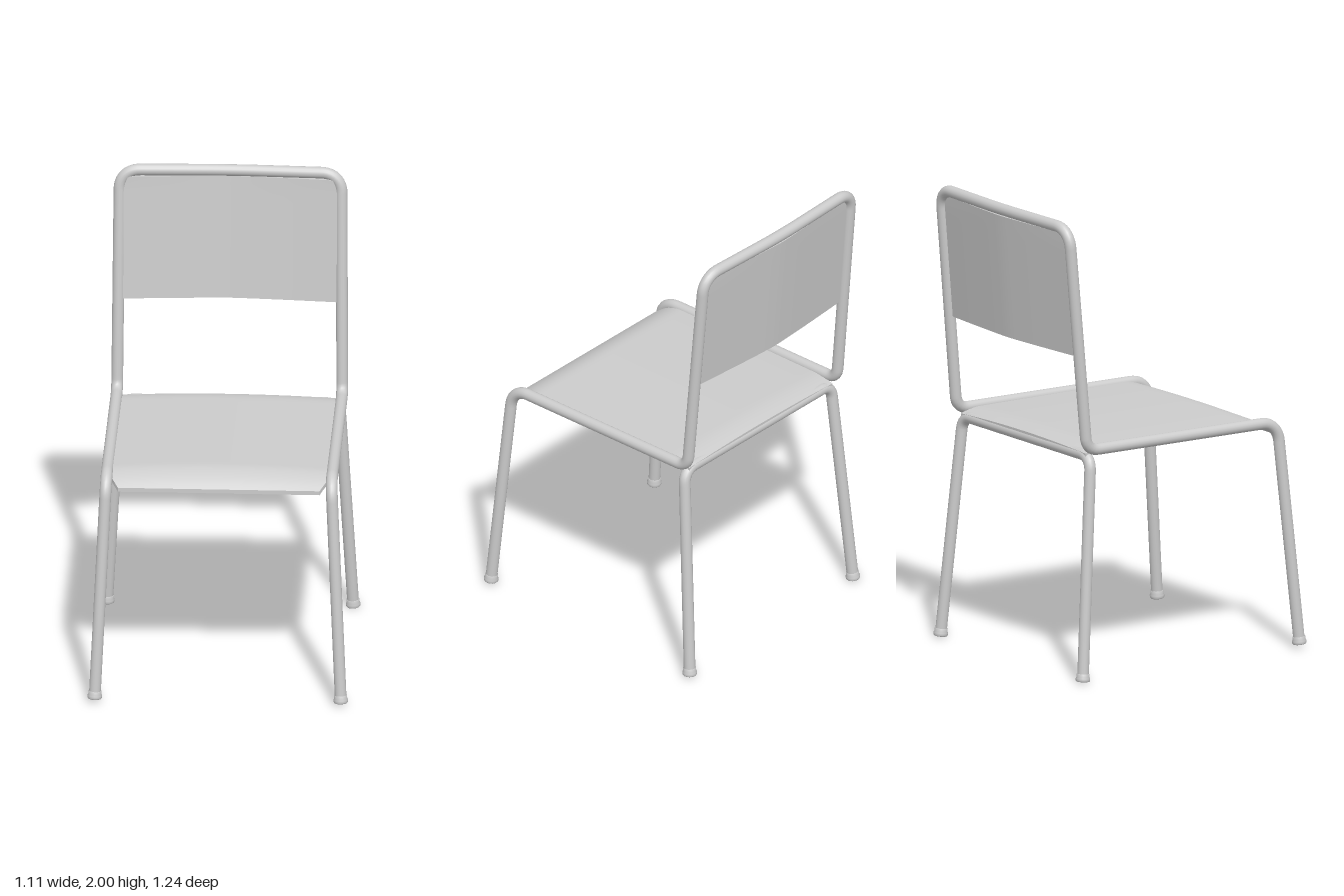
import * as THREE from 'three';

const V = (x, y, z) => new THREE.Vector3(x, y, z);
const material = new THREE.MeshStandardMaterial({ color: 0xcccccc });
const R = 0.025;

function part(name, geometry) {
  const mesh = new THREE.Mesh(geometry, material);
  mesh.name = name;
  return mesh;
}

// Straight runs joined by rounded bends; each corner is [point, bend length]
function bentTube(name, start, corners, end, segments) {
  const path = new THREE.CurvePath();
  let from = start;
  corners.forEach(([p, bend], i) => {
    const next = i + 1 < corners.length ? corners[i + 1][0] : end;
    const a = p.clone().add(from.clone().sub(p).setLength(bend));
    const b = p.clone().add(next.clone().sub(p).setLength(bend));
    const k = 0.6; // handle length that gives a near-circular bend
    path.add(new THREE.LineCurve3(from, a));
    path.add(new THREE.CubicBezierCurve3(a, a.clone().lerp(p, k), b.clone().lerp(p, k), b));
    from = b;
  });
  path.add(new THREE.LineCurve3(from, end));
  return part(name, new THREE.TubeGeometry(path, segments, R, 16, false));
}

// Bends a finely divided box by moving every vertex
function bentPanel(name, size, divisions, rule) {
  const g = new THREE.BoxGeometry(...size, ...divisions);
  const pos = g.attributes.position;
  const v = V(0, 0, 0);
  for (let i = 0; i < pos.count; i++) {
    v.fromBufferAttribute(pos, i);
    rule(v);
    pos.setXYZ(i, v.x, v.y, v.z);
  }
  g.computeVertexNormals();
  return part(name, g);
}

// Rubber cap in line with the leg
function footCap(name, foot, top) {
  const dir = top.clone().sub(foot).normalize();
  const profile = [[0, 0], [0.028, 0], [0.031, 0.004], [0.031, 0.014], [0.028, 0.02], [0.028, 0.032], [0.024, 0.034]];
  const cap = part(name, new THREE.LatheGeometry(profile.map(([r, y]) => new THREE.Vector2(r, y)), 20));
  cap.position.copy(foot);
  cap.quaternion.setFromUnitVectors(V(0, 1, 0), dir);
  return cap;
}

export function createModel() {
  const chair = new THREE.Group();
  chair.name = 'chair';
  const mirror = (p) => V(-p.x, p.y, p.z);

  // Main frame: front legs, seat rails, uprights and top bar in one tube
  const frontFoot = V(0.525, 0.015, 0.585);
  const half = [
    [V(0.48, 0.99, 0.5), 0.085],
    [V(0.48, 0.997, -0.493), 0.055],
    [V(0.473, 1.975, -0.58), 0.085],
  ];
  const corners = [
    ...half,
    [V(0, 1.975, -0.597), 0.12],
    ...half.map(([p, b]) => [mirror(p), b]).reverse(),
  ];
  chair.add(bentTube('mainFrame', frontFoot, corners, mirror(frontFoot), 420));

  // Rear legs and the cross bar under the back of the seat
  const rearFoot = V(0.525, 0.003, -0.545);
  const rearTop = V(0.47, 0.965, -0.466);
  chair.add(bentTube('rearLegs', rearFoot, [[rearTop, 0.06], [mirror(rearTop), 0.06]], mirror(rearFoot), 180));

  // Foot caps
  for (const m of [(p) => p, mirror]) {
    const side = m === mirror ? 'right' : 'left';
    chair.add(footCap(side + 'FrontFoot', m(frontFoot), m(half[0][0])));
    chair.add(footCap(side + 'RearFoot', m(rearFoot), m(rearTop)));
  }

  // Seat: slightly crowned, rolled down at the front, front corners cut
  chair.add(bentPanel('seat', [0.92, 0.018, 0.985], [20, 1, 50], (v) => {
    v.z += 0.0075;
    const crown = 0.012 * (1 - (v.x / 0.46) ** 2);
    const front = Math.max(0, (v.z - 0.37) / 0.13);
    const back = Math.max(0, (-0.38 - v.z) / 0.105);
    v.y += 0.99 + crown * (1 - Math.min(1, front)) - 0.05 * front ** 2 - 0.02 * back ** 2;
    v.x *= 1 - 0.065 * Math.max(0, (v.z - 0.455) / 0.045);
  }));

  // Backrest: leans with the uprights and is hollow towards the sitter
  chair.add(bentPanel('backrest', [0.91, 0.54, 0.022], [24, 20, 1], (v) => {
    v.y += 1.68;
    v.z += -0.552 - 0.089 * (v.y - 1.41) + 0.031 * (Math.abs(v.x) / 0.455) ** 1.25;
    v.x *= 1 - 0.04 * Math.max(0, (v.y - 1.88) / 0.07) ** 2;
  }));

  return chair;
}
